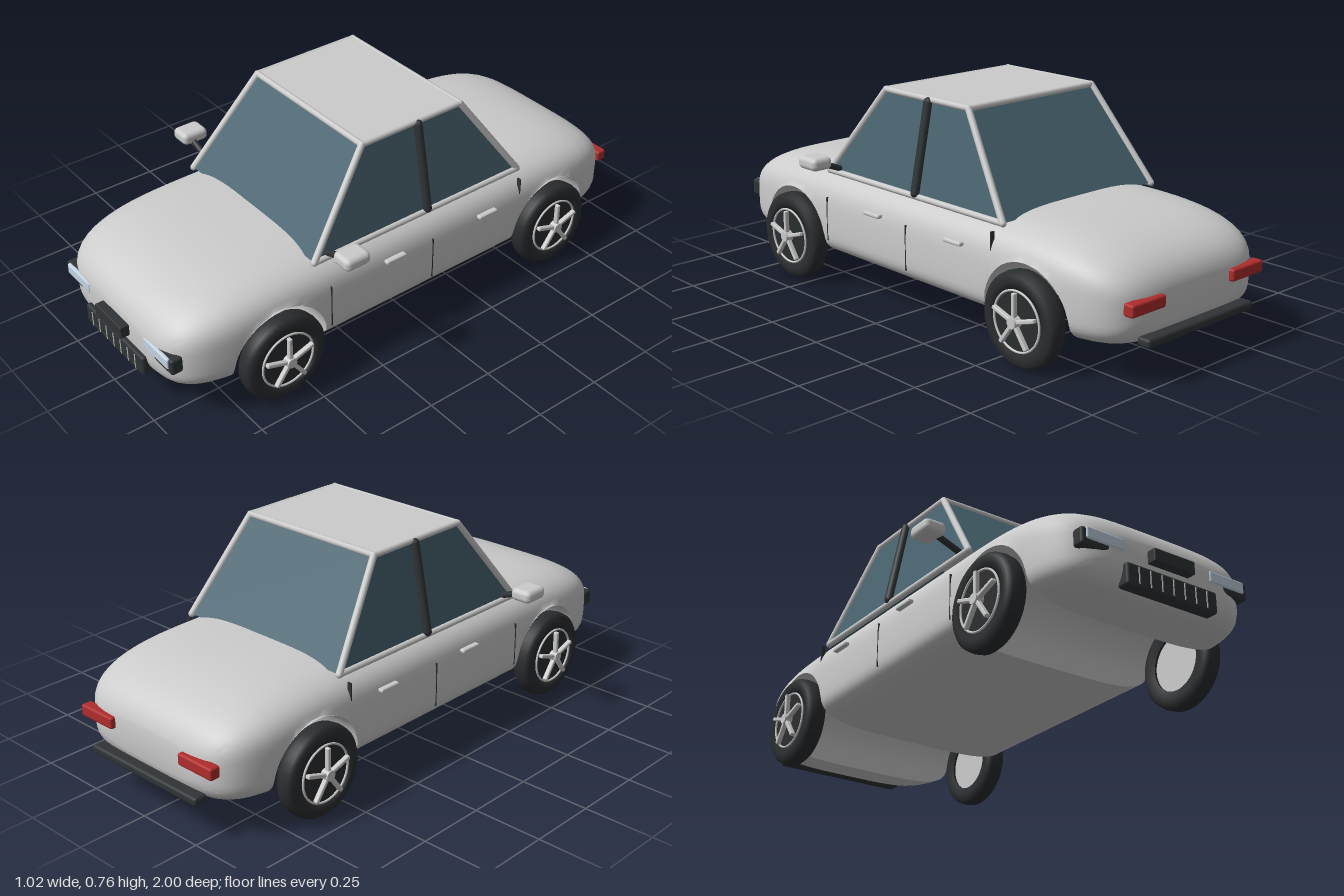
import * as THREE from 'three';
import { toCreasedNormals } from 'three/addons/utils/BufferGeometryUtils.js';
import { RoundedBoxGeometry } from 'three/addons/geometries/RoundedBoxGeometry.js';

const mat = (color, side = THREE.FrontSide) => new THREE.MeshStandardMaterial({ color, side });
const grey = mat(0xcccccc), dark = mat(0x303436), tyreMat = mat(0x2a2d2f);
const glass = mat(0x486470, THREE.DoubleSide), lamp = mat(0xc4d4e4), red = mat(0xb02c2c);
const AXLES = [0.59, -0.61], ARCH_R = 0.18, ARCH_Y = 0.165;
const V = (x, y, z) => new THREE.Vector3(x, y, z);

function add(parent, name, geo, material, x = 0, y = 0, z = 0) {
  const m = new THREE.Mesh(geo, material);
  m.name = name;
  m.position.set(x, y, z);
  parent.add(m);
  return m;
}

// Rounded block centred at a point
const block = (parent, name, size, pos, material, r = 0.008) =>
  add(parent, name, new RoundedBoxGeometry(...size, 2, r), material, ...pos);

// Straight round bar between two points
function bar(parent, name, a, b, r, material) {
  const m = add(parent, name, new THREE.CapsuleGeometry(r, a.distanceTo(b), 4, 10), material);
  m.position.copy(a).add(b).multiplyScalar(0.5);
  m.quaternion.setFromUnitVectors(V(0, 1, 0), b.clone().sub(a).normalize());
  return m;
}

// Lofted shell: superellipse sections that shrink at both ends, notched by the wheel arches
function bodyGeometry() {
  const N = 72, zs = [0.3, 0.15, 0, -0.15, -0.3];
  for (let k = 0; k <= 16; k++) {
    const z = 0.4 + 0.57 * 0.994 * Math.sin((k / 16) * Math.PI / 2);
    zs.push(z, -z);
  }
  for (const c of AXLES) {
    for (let k = 0; k <= 24; k++) zs.push(c + ARCH_R * Math.cos((k / 24) * Math.PI));
    zs.push(c + ARCH_R + 0.001, c - ARCH_R - 0.001);
  }
  zs.sort((a, b) => a - b);
  const pos = [], idx = [];
  const pw = v => Math.sign(v) * Math.sqrt(Math.abs(v));
  for (const z of zs) {
    const e = Math.max(0, (Math.abs(z) - 0.4) / 0.57);
    const w = 0.402 * (1 - e ** 4) ** 0.17;
    const up = 0.212 * (1 - e ** 3) ** 0.35, down = 0.13 * (1 - e ** 14) ** 0.35;
    let floor = 0;
    for (const c of AXLES) {
      const d = Math.abs(z - c);
      if (d < ARCH_R + 1e-6) floor = ARCH_Y + Math.sqrt(Math.max(0, ARCH_R ** 2 - d * d));
    }
    for (let j = 0; j < N; j++) {
      const t = (j / N) * Math.PI * 2, s = pw(Math.sin(t));
      pos.push(w * pw(Math.cos(t)), Math.max(floor, 0.24 + s * (s > 0 ? up : down)), z);
    }
  }
  const last = zs.length - 1, c0 = pos.length / 3;
  pos.push(0, 0.24, zs[0], 0, 0.24, zs[last]);
  for (let j = 0; j < N; j++) {
    const k = (j + 1) % N;
    for (let i = 0; i < last; i++) {
      const a = i * N + j, b = i * N + k;
      idx.push(a, b, a + N, b, b + N, a + N);
    }
    idx.push(c0, k, j, c0 + 1, last * N + j, last * N + k);
  }
  const g = new THREE.BufferGeometry();
  g.setAttribute('position', new THREE.Float32BufferAttribute(pos, 3));
  g.setIndex(idx);
  return toCreasedNormals(g, 0.7);
}

function pane(parent, name, a, b, c, d) {
  const g = new THREE.BufferGeometry().setFromPoints([a, b, c, a, c, d]);
  g.computeVertexNormals();
  return add(parent, name, g, glass);
}

// Greenhouse: four panes, pillars, rails and roof
function cabin() {
  const g = new THREE.Group();
  g.name = 'cabin';
  const base = (s, f) => V(s * 0.355, 0.432, f ? 0.425 : -0.47);
  const top = (s, f) => V(s * 0.29, 0.755, f ? 0.18 : -0.24);
  for (const f of [true, false]) {
    const s = f ? 1 : -1;
    pane(g, f ? 'windscreen' : 'rearWindow', base(-s, f), base(s, f), top(s, f), top(-s, f));
    bar(g, 'roofCrossRail', top(-1, f), top(1, f), 0.011, grey);
  }
  for (const s of [1, -1]) {
    pane(g, 'sideWindow', base(s, s > 0), base(s, s < 0), top(s, s < 0), top(s, s > 0));
    bar(g, 'roofSideRail', top(s, true), top(s, false), 0.011, grey);
    bar(g, 'windowSill', base(s, true), base(s, false), 0.011, grey);
    for (const f of [true, false]) bar(g, 'cornerPillar', base(s, f), top(s, f), 0.012, grey);
    bar(g, 'doorPillar', V(s * 0.36, 0.445, -0.05), V(s * 0.298, 0.748, -0.05), 0.016, dark);
  }
  add(g, 'roof', new THREE.BoxGeometry(0.58, 0.014, 0.42), grey, 0, 0.757, -0.03);
  return g;
}

// Wheel with its outer face towards +x
function wheel() {
  const g = new THREE.Group();
  g.name = 'wheel';
  const profile = [[0.1, -0.03], [0.125, -0.036], [0.146, -0.034], [0.157, -0.022], [0.16, 0],
    [0.157, 0.022], [0.146, 0.034], [0.125, 0.036], [0.1, 0.03], [0.1, -0.03]];
  const tyre = new THREE.LatheGeometry(profile.map(p => new THREE.Vector2(...p)), 40);
  add(g, 'tyre', tyre, mat(0x2a2d2f, THREE.DoubleSide)).rotation.z = -Math.PI / 2;
  add(g, 'rimBack', new THREE.CylinderGeometry(0.1, 0.1, 0.02, 32), grey, -0.012).rotation.z = -Math.PI / 2;
  add(g, 'rimFace', new THREE.CylinderGeometry(0.101, 0.101, 0.03, 32), tyreMat, 0.016).rotation.z = -Math.PI / 2;
  add(g, 'rimRing', new THREE.TorusGeometry(0.1, 0.004, 8, 40), grey, 0.034).rotation.y = Math.PI / 2;
  for (let k = 0; k < 5; k++) {
    const spoke = new THREE.Group();
    spoke.name = 'spoke';
    spoke.rotation.x = (k / 5) * Math.PI * 2;
    block(spoke, 'spokeBar', [0.018, 0.085, 0.014], [0.045, 0.054, 0], grey, 0.004);
    g.add(spoke);
  }
  add(g, 'hubCap', new THREE.CylinderGeometry(0.018, 0.02, 0.028, 20), grey, 0.045).rotation.z = -Math.PI / 2;
  return g;
}

export function createModel() {
  const car = new THREE.Group();
  car.name = 'car';
  add(car, 'body', bodyGeometry(), grey);
  car.add(cabin());

  for (const s of [1, -1]) {
    for (const z of AXLES) {
      const w = wheel();
      w.position.set(s * 0.395, 0.162, z);
      if (s < 0) w.rotation.y = Math.PI;
      car.add(w);
    }
    // Door mirrors, handles and seams
    bar(car, 'mirrorArm', V(s * 0.35, 0.447, 0.37), V(s * 0.44, 0.482, 0.37), 0.011, dark);
    block(car, 'mirror', [0.082, 0.046, 0.1], [s * 0.469, 0.493, 0.36], grey, 0.018);
    for (const z of [0.125, -0.29])
      block(car, 'doorHandle', [0.022, 0.015, 0.084], [s * 0.405, 0.341, z], grey, 0.006);
    for (const [z, y, h] of [[0.39, 0.265, 0.16], [-0.045, 0.26, 0.16], [-0.455, 0.36, 0.1]])
      add(car, 'doorSeam', new THREE.BoxGeometry(0.016, h, 0.004), dark, s * (y > 0.3 ? 0.387 : 0.3945), y, z);
    // Lights
    block(car, 'headlightHousing', [0.182, 0.06, 0.045], [s * 0.241, 0.256, 0.942], dark, 0.01);
    block(car, 'headlight', [0.145, 0.04, 0.02], [s * 0.243, 0.265, 0.96], lamp, 0.006);
    block(car, 'tailLight', [0.155, 0.042, 0.04], [s * 0.24, 0.265, -0.965], red, 0.008);
  }

  // Nose
  block(car, 'grille', [0.36, 0.075, 0.05], [0, 0.168, 0.96], dark, 0.01);
  for (let k = -3; k <= 3; k++)
    add(car, 'grilleSlat', new THREE.BoxGeometry(0.004, 0.056, 0.006), grey, k * 0.045, 0.168, 0.984);
  block(car, 'frontPlate', [0.162, 0.044, 0.04], [0, 0.252, 0.979], dark, 0.004);
  // Tail
  block(car, 'rearBumper', [0.51, 0.03, 0.05], [0, 0.15, -0.974], dark, 0.01);
  return car;
}
